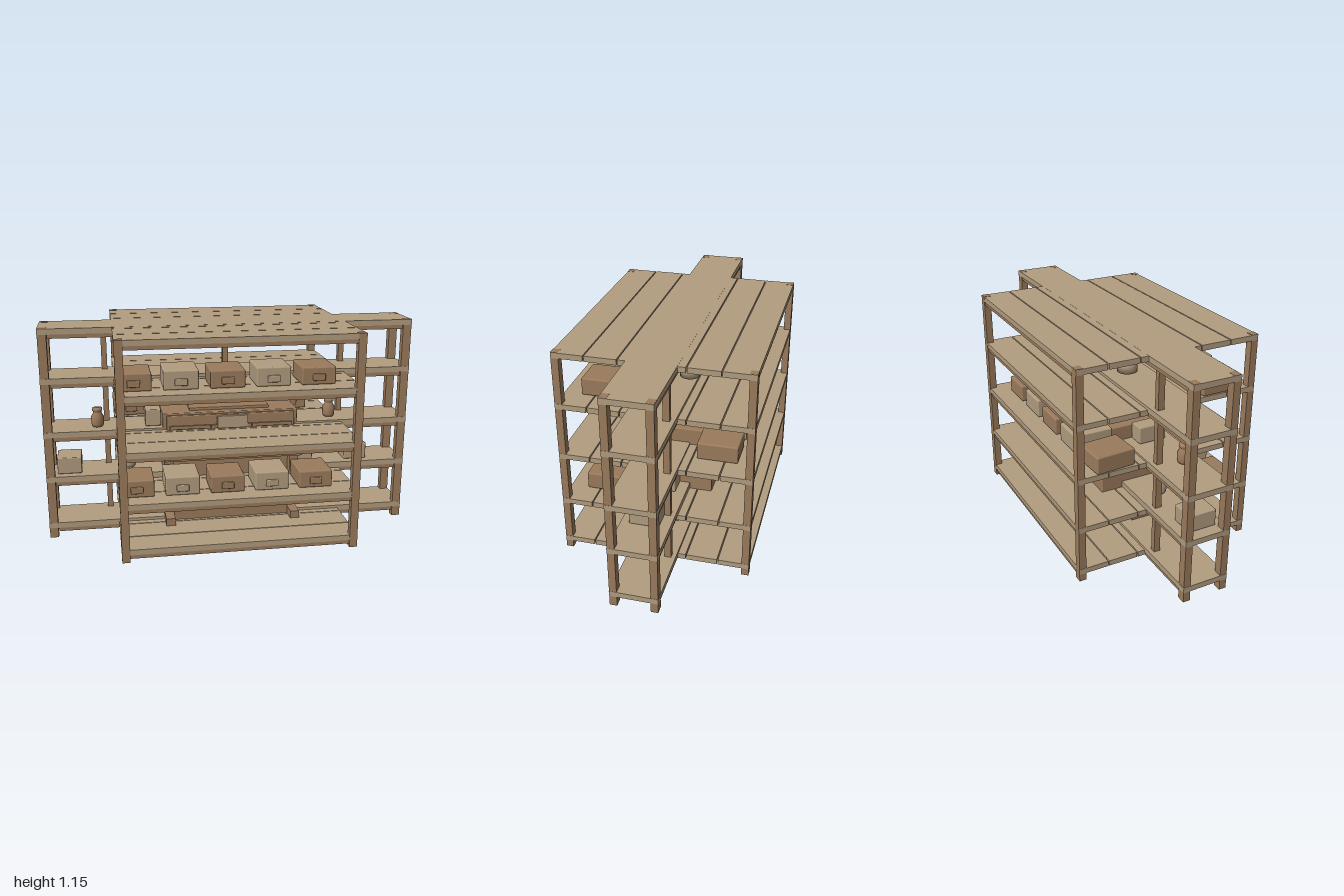
import * as THREE from 'three';
import { RoundedBoxGeometry } from 'three/addons/geometries/RoundedBoxGeometry.js';

const mat = (name, color) => {
  const m = new THREE.MeshStandardMaterial({ color });
  m.name = name;
  return m;
};

export function createModel() {
  const root = new THREE.Group();
  const plank = mat('pale plank', 0xb29d80);
  const wood = mat('brown wood', 0x9b7b5d);
  const pale = mat('pale box', 0xb29d80);

  const group = (name, parent = root) => {
    const g = new THREE.Group();
    g.name = name;
    parent.add(g);
    return g;
  };
  const add = (parent, name, geo, material, x = 0, y = 0, z = 0) => {
    const m = new THREE.Mesh(geo, material);
    m.name = name;
    m.position.set(x, y, z);
    parent.add(m);
    return m;
  };
  // Box given by its minimum and maximum on each axis
  const block = (parent, name, material, x0, x1, y0, y1, z0, z1, r = 0) => {
    const s = [x1 - x0, y1 - y0, z1 - z0];
    const geo = r ? new RoundedBoxGeometry(...s, 2, r) : new THREE.BoxGeometry(...s);
    return add(parent, name, geo, material, (x0 + x1) / 2, (y0 + y1) / 2, (z0 + z1) / 2);
  };

  // Deep main rack: six planks per level, with rails under the long edges
  const main = group('mainRack');
  const pitch = 1 / 6;
  for (const y of [0.055, 0.3, 0.573, 0.859, 1.135]) {
    for (let i = 0; i < 6; i++) {
      const z = -0.5 + pitch * (i + 0.5);
      add(main, 'shelfPlank', new THREE.BoxGeometry(1.244, 0.029, pitch - 0.006), plank, 0, y, z);
    }
    for (const s of [-1, 1])
      add(main, 'shelfRail', new THREE.BoxGeometry(1.17, 0.022, 0.035), wood, 0, y - 0.025, s * 0.474);
  }
  for (const sx of [-1, 1])
    for (const sz of [-1, 1])
      add(main, 'mainPost', new THREE.BoxGeometry(0.042, 1.151, 0.038), wood, sx * 0.6, 0.5755, sz * 0.479);

  // Long narrow rack that crosses the main one
  const cross = group('crossRack');
  for (const y of [0.07, 0.334, 0.583, 0.874, 1.135]) {
    add(cross, 'longShelf', new THREE.BoxGeometry(2, 0.03, 0.25), plank, 0, y, 0);
    for (const s of [-1, 1])
      add(cross, 'longRail', new THREE.BoxGeometry(1.9, 0.022, 0.03), wood, 0, y - 0.026, s * 0.104);
  }
  for (const sx of [-1, 1])
    for (const sz of [-1, 1])
      add(cross, 'crossPost', new THREE.BoxGeometry(0.046, 1.151, 0.038), wood, sx * 0.976, 0.5755, sz * 0.105);
  for (const x of [-0.665, 0, 0.665])
    add(cross, 'thinPost', new THREE.BoxGeometry(0.03, 1.07, 0.034), wood, x, 0.59, -0.085);

  // Storage boxes with a handle plate on the front
  const storageBox = (x, y, z, dark, turn = 0) => {
    const g = group('storageBox');
    const m = dark ? wood : pale;
    const h = dark ? 0.092 : 0.1;
    add(g, 'boxBody', new RoundedBoxGeometry(0.178, h, 0.21, 2, 0.008), m, 0, h / 2, 0);
    add(g, 'boxHandle', new RoundedBoxGeometry(0.065, 0.036, 0.016, 2, 0.005), m, 0, 0.04, 0.107);
    g.position.set(x, y, z);
    g.rotation.y = turn;
  };
  for (let i = 0; i < 5; i++) {
    const x = -0.53 + 0.235 * i;
    storageBox(x, 0.874, 0.297, i % 2 === 0);
    storageBox(x, 0.315, 0.297, i % 2 === 0);
    storageBox(x, 0.588, -0.295, i % 2 === 0, i === 0 ? 0.06 : 0);
  }

  // Plain pale boxes on the narrow shelves
  for (const [x0, x1, y0, y1] of [
    [-0.94, -0.81, 0.349, 0.44], [0.66, 0.79, 0.349, 0.44],
    [0.375, 0.475, 0.349, 0.44], [-0.46, -0.375, 0.598, 0.69],
  ]) block(root, 'plainBox', pale, x0, x1, y0, y1, -0.072, 0.08, 0.006);

  // Turned jars and hanging shades
  const lathe = (name, material, pts, x, y, z) =>
    add(root, name, new THREE.LatheGeometry(pts.map(p => new THREE.Vector2(...p)), 24), material, x, y, z);
  const jar = [[0, 0], [0.028, 0], [0.034, 0.015], [0.034, 0.055], [0.022, 0.075],
    [0.022, 0.085], [0.027, 0.087], [0.027, 0.102], [0, 0.102]];
  for (const x of [-0.715, 0.575]) lathe('jar', wood, jar, x, 0.598, 0.03);
  lathe('paleJar', pale, jar, -0.55, 0.349, 0.0);
  const shade = [[0, 0], [0.05, 0], [0.05, 0.035], [0.044, 0.05], [0.03, 0.065], [0.027, 0.08], [0, 0.08]];
  for (const x of [-0.435, 0.035, 0.415]) lathe('hangingShade', pale, shade, x, 1.01, -0.135);

  // Cabinet standing in the middle
  const cab = group('cabinet');
  block(cab, 'cabinetBody', wood, -0.37, 0.37, 0.1, 0.675, -0.242, 0.125, 0.006);
  block(cab, 'cabinetPlinth', wood, -0.37, 0.37, 0.03, 0.1, -0.06, 0.13);
  block(cab, 'lowerPanel', wood, -0.32, 0.32, 0.07, 0.21, 0.1, 0.147);
  block(cab, 'ledge', wood, -0.37, 0.37, 0.445, 0.492, 0.05, 0.25);
  block(cab, 'upperFront', wood, -0.35, 0.35, 0.5, 0.665, 0.1, 0.142, 0.006);
  block(cab, 'lid', wood, -0.22, 0.22, 0.665, 0.69, -0.08, 0.08, 0.005);
  block(cab, 'rest', pale, -0.078, 0.09, 0.59, 0.66, 0.13, 0.16, 0.004);
  for (const s of [-1, 1]) {
    add(cab, 'foot', new THREE.BoxGeometry(0.05, 0.11, 0.165), wood, s * 0.345, 0.055, 0.143);
    add(cab, 'column', new RoundedBoxGeometry(0.05, 0.3, 0.127, 2, 0.005), wood, s * 0.345, 0.3, 0.1125);
  }
  // Three framed panels above the ledge
  const frame = new THREE.Shape([[-0.11, -0.05], [0.11, -0.05], [0.11, 0.05], [-0.11, 0.05]].map(p => new THREE.Vector2(...p)));
  frame.holes.push(new THREE.Path([[-0.09, -0.032], [-0.09, 0.032], [0.09, 0.032], [0.09, -0.032]].map(p => new THREE.Vector2(...p))));
  const frameGeo = new THREE.ExtrudeGeometry(frame, { depth: 0.012, bevelEnabled: false });
  for (const x of [-0.225, 0, 0.225]) add(cab, 'panelFrame', frameGeo, wood, x, 0.56, 0.14);

  // Small dish on the ledge and round base under the cabinet
  lathe('dish', pale, [[0, 0], [0.02, 0], [0.02, 0.008], [0.038, 0.01], [0.038, 0.015], [0, 0.015]], 0.3, 0.492, 0.2);
  add(root, 'roundBase', new THREE.CylinderGeometry(0.125, 0.11, 0.036, 32), wood, -0.02, 0.019, 0.02);
  return root;
}
